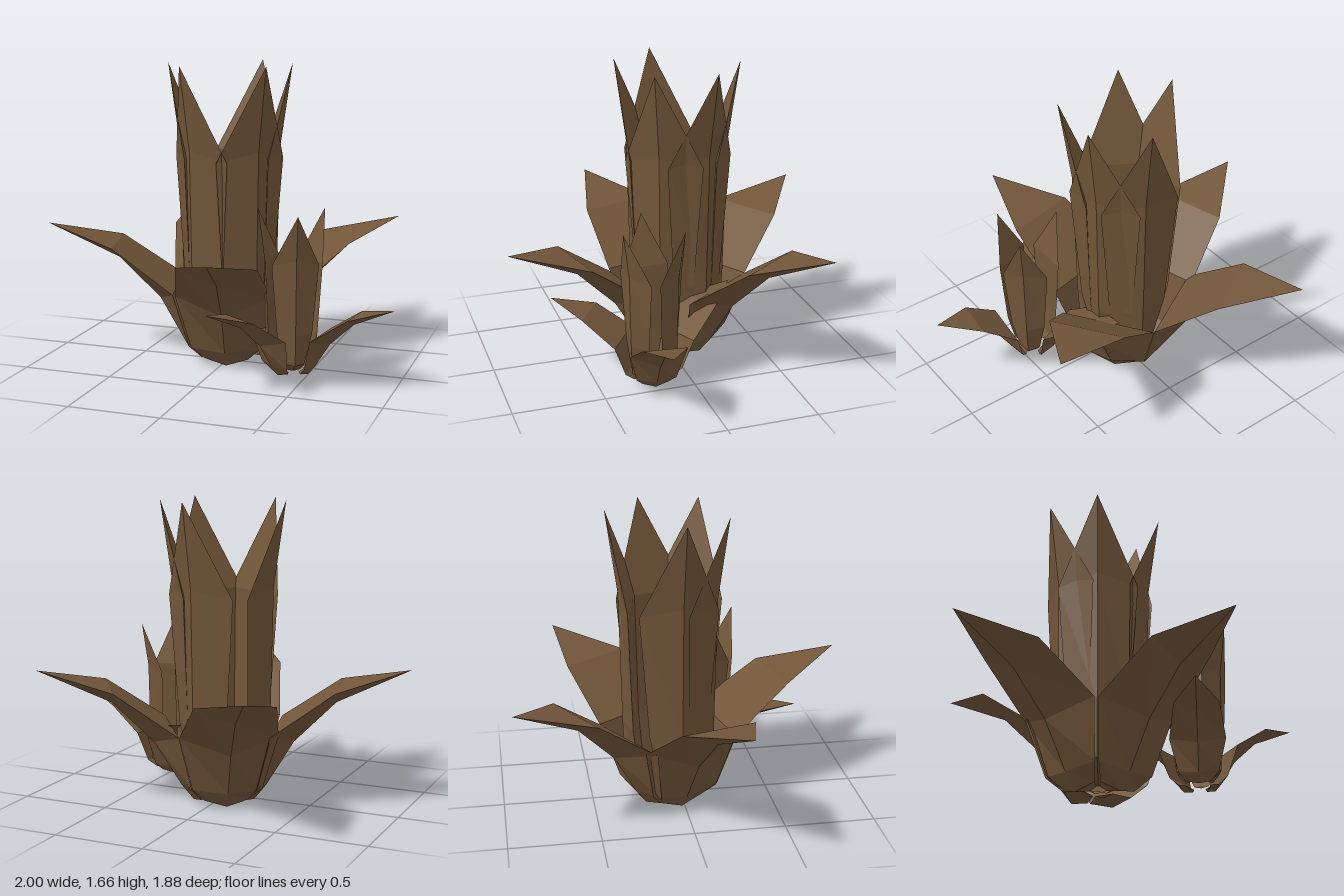
import * as THREE from 'three';

const bark = new THREE.MeshStandardMaterial({ color: 0x725639, flatShading: true, side: THREE.DoubleSide });
bark.name = 'brown leaf';

// Keeled leaf: each section is [edge radius, edge height, half width, keel radius, keel height]
function leafGeometry(sections) {
  const rings = sections.map(([r, y, w, kr, ky]) => [[r, y, -w], [kr, ky, 0], [r, y, w]]);
  const pos = [];
  for (let i = 0; i < rings.length - 1; i++) {
    const a = rings[i], b = rings[i + 1];
    const last = i === rings.length - 2;
    for (let k = 0; k < 3; k++) {
      const n = (k + 1) % 3;
      pos.push(...a[n], ...a[k], ...b[n]);
      if (!last) pos.push(...a[k], ...b[k], ...b[n]);
    }
  }
  const g = new THREE.BufferGeometry();
  g.setAttribute('position', new THREE.Float32BufferAttribute(pos, 3));
  g.computeVertexNormals();
  return g;
}

// Leaf that forms the cup, then spreads outward
const spreadingLeaf = (hole) => leafGeometry([
  [hole, 0.04, hole * 0.8, hole, 0.025],
  [0.145, 0.03, 0.12, 0.17, 0],
  [0.21, 0.11, 0.19, 0.24, 0.09],
  [0.29, 0.42, 0.265, 0.39, 0.34],
  [0.63, 0.66, 0.21, 0.62, 0.57],
  [1.02, 0.76, 0, 1.02, 0.76],
]);

// Tall leaf of the hollow central column
const uprightLeaf = (hole) => leafGeometry([
  [hole, 0.06, hole * 0.6, hole, 0.045],
  [0.155, 0.13, 0.1, 0.25, 0.14],
  [0.185, 0.45, 0.165, 0.265, 0.45],
  [0.2, 1.15, 0.22, 0.28, 1.2],
  [0.345, 1.66, 0, 0.345, 1.66],
]);

// Plant with leaves at the given angles, measured from +x towards +z
function plant(name, hole, outerAngles, innerAngles) {
  const group = new THREE.Group();
  group.name = name;
  const add = (geometry, label) => (deg) => {
    const leaf = new THREE.Mesh(geometry, bark);
    leaf.name = label;
    leaf.rotation.y = -THREE.MathUtils.degToRad(deg);
    group.add(leaf);
  };
  outerAngles.forEach(add(spreadingLeaf(hole), 'spreadingLeaf'));
  innerAngles.forEach(add(uprightLeaf(hole), 'uprightLeaf'));
  return group;
}

export function createModel() {
  const model = new THREE.Group();
  model.name = 'twinPlant';

  const large = plant('largePlant', 0.065, [77, 165, 240, 325], [-76, -21, 37, 121, 173]);
  large.position.set(-0.01, 0, -0.06);

  const small = plant('smallPlant', 0.11, [7, 124, 245], [66, -45, 180]);
  small.position.set(0.44, 0.045, 0.22);
  small.scale.set(0.56, 0.53, 0.56);

  model.add(large, small);
  return model;
}
